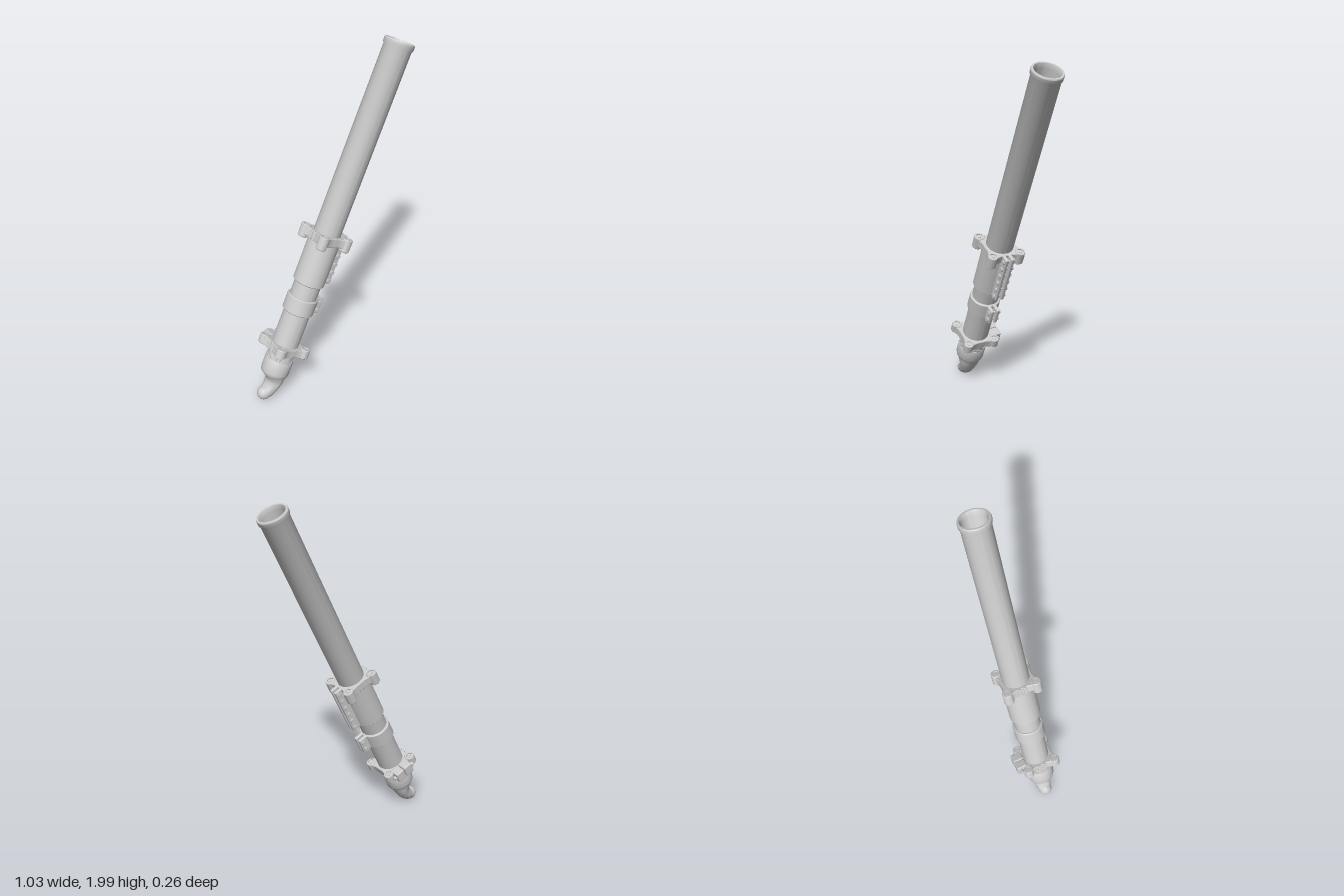
import * as THREE from 'three';
import { toCreasedNormals } from 'three/addons/utils/BufferGeometryUtils.js';
import { RoundedBoxGeometry } from 'three/addons/geometries/RoundedBoxGeometry.js';

const mat = new THREE.MeshStandardMaterial({ color: 0xcccccc });

function add(parent, name, geo, x = 0, y = 0, z = 0) {
  const mesh = new THREE.Mesh(geo, mat);
  mesh.name = name;
  mesh.position.set(x, y, z);
  parent.add(mesh);
  return mesh;
}

// Turned part about the tube axis, from [radius, height] pairs
function turned(points, segments = 48) {
  const geo = new THREE.LatheGeometry(points.map(([r, y]) => new THREE.Vector2(r, y)), segments);
  return toCreasedNormals(geo, 0.5);
}

// Band around the tube with small bevels
function band(radius, bottom, top, inner = 0.074, b = 0.005) {
  return turned([[inner, bottom], [radius - b, bottom], [radius, bottom + b],
    [radius, top - b], [radius - b, top], [inner, top]]);
}

// Four-cornered clamp plate with inward-curved sides and a bore, lying flat
function clampPlate(thickness) {
  const c = 0.085, r = 0.026, waist = 0.074;
  const shape = new THREE.Shape();
  for (let i = 0; i < 4; i++) {
    const a = i * Math.PI / 2;
    const turn = (x, y) => [x * Math.cos(a) - y * Math.sin(a), x * Math.sin(a) + y * Math.cos(a)];
    const start = turn(c + r, -c);
    if (i === 0) shape.moveTo(...start);
    shape.quadraticCurveTo(...turn(waist + 0.01, -0.05), ...turn(waist + 0.016, 0));
    shape.quadraticCurveTo(...turn(waist + 0.01, 0.05), ...turn(c + r, c));
    shape.absarc(...turn(c, c), r, a, a + Math.PI / 2, false);
  }
  shape.holes.push(new THREE.Path().absarc(0, 0, 0.075, 0, Math.PI * 2, true));
  const geo = new THREE.ExtrudeGeometry(shape, {
    depth: thickness - 0.008, bevelSize: 0.003, bevelThickness: 0.004, bevelSegments: 1, curveSegments: 12,
  });
  geo.translate(0, 0, 0.004);
  geo.rotateX(-Math.PI / 2);
  return toCreasedNormals(geo, 0.5);
}

// Clamp plate plus a recessed screw boss at every corner
function clamp(parent, name, bottom, top, bossDrop) {
  const group = new THREE.Group();
  group.name = name;
  parent.add(group);
  add(group, 'clampPlate', clampPlate(top - bottom), 0, bottom, 0);
  const low = bottom - bossDrop, high = top + 0.006;
  const boss = turned([[0, low], [0.025, low], [0.029, low + 0.005], [0.029, high - 0.004],
    [0.026, high], [0.018, high], [0.018, high - 0.014], [0, high - 0.014]], 20);
  const screw = new THREE.CylinderGeometry(0.011, 0.011, 0.012, 6);
  for (const x of [-0.085, 0.085]) for (const z of [-0.085, 0.085]) {
    add(group, 'cornerBoss', boss, x, 0, z);
    add(group, 'cornerScrew', screw, x, high - 0.009, z);
  }
  // Latch on the upper side of the clamp
  const height = top - bottom;
  for (const z of [-0.016, 0.016])
    add(group, 'latchLug', new RoundedBoxGeometry(0.024, height, 0.018, 2, 0.004), -0.088, bottom + height / 2, z);
  return group;
}

// Pair of bolted flanges under a band
function flangePair(parent, name, bottom, top, boltCount) {
  const group = new THREE.Group();
  group.name = name;
  parent.add(group);
  const height = top - bottom;
  const flange = new RoundedBoxGeometry(0.07, height, 0.02, 2, 0.006);
  const shank = new THREE.CylinderGeometry(0.007, 0.007, 0.05, 12).rotateX(Math.PI / 2);
  const head = new THREE.CylinderGeometry(0.014, 0.014, 0.012, 6).rotateX(Math.PI / 2);
  for (const side of [-1, 1]) add(group, 'flange', flange, 0.1, bottom + height / 2, side * 0.018);
  for (let i = 0; i < boltCount; i++) {
    const y = bottom + 0.024 + (height - 0.048) * i / (boltCount - 1);
    add(group, 'flangeBolt', shank, 0.116, y, 0);
    for (const side of [-1, 1]) add(group, 'boltHead', head, 0.116, y, side * 0.032);
  }
}

// Tapered foot: elliptical sections [height, left, right, half depth], top first
function footGeometry() {
  const rows = [
    [0.172, -0.074, 0.074, 0.074], [0.155, -0.058, 0.07, 0.069], [0.138, -0.036, 0.066, 0.065],
    [0.12, -0.026, 0.063, 0.061], [0.095, -0.027, 0.057, 0.055], [0.07, -0.036, 0.052, 0.049],
    [0.045, -0.05, 0.042, 0.044], [0.025, -0.05, 0.028, 0.038], [0.01, -0.036, 0.012, 0.026],
    [0.001, -0.015, -0.005, 0.006],
  ];
  const segments = 32;
  const geo = new THREE.CylinderGeometry(1, 1, 1, segments, rows.length - 1, true);
  const p = geo.attributes.position;
  for (let i = 0; i < p.count; i++) {
    const [y, left, right, depth] = rows[Math.floor(i / (segments + 1))];
    p.setXYZ(i, (left + right) / 2 + p.getX(i) * (right - left) / 2, y, p.getZ(i) * depth);
  }
  return toCreasedNormals(geo, 0.8);
}

export function createModel() {
  const model = new THREE.Group();
  model.name = 'launchTube';

  // Everything is built upright along the tube axis, then leaned over
  const tube = new THREE.Group();
  tube.name = 'tiltedAssembly';
  tube.position.set(-0.475, 0, 0.016);
  tube.rotation.z = THREE.MathUtils.degToRad(-25);
  model.add(tube);

  // Hollow barrel with a flared lip
  add(tube, 'barrel', turned([[0.077, 0.25], [0.077, 2.118], [0.083, 2.13], [0.084, 2.152], [0.081, 2.158],
    [0.072, 2.158], [0.068, 2.148], [0.066, 2.13], [0.066, 0.3], [0, 0.3]]));

  // Breech collar with a ring of slots' teeth, foot and ball
  add(tube, 'breechCollar', turned([[0, 0.165], [0.07, 0.165], [0.079, 0.175], [0.083, 0.19], [0.083, 0.26],
    [0.079, 0.27], [0, 0.27]]));
  const tooth = new THREE.BoxGeometry(0.022, 0.014, 0.01);
  for (let i = 0; i < 12; i++) {
    const a = i * Math.PI / 6;
    add(tube, 'breechTooth', tooth, Math.sin(a) * 0.076, 0.277, Math.cos(a) * 0.076).rotation.y = a;
  }
  add(tube, 'foot', footGeometry());
  add(tube, 'footBall', new THREE.SphereGeometry(0.04, 32, 20), -0.019, 0.036, 0);

  // Lower clamp with a split lug and cross bolt behind it
  const lower = clamp(tube, 'lowerClamp', 0.32, 0.37, 0);
  for (const side of [-1, 1])
    add(lower, 'rearLug', new RoundedBoxGeometry(0.057, 0.066, 0.066, 2, 0.008), 0.006 + side * 0.03, 0.344, -0.11);
  const crossBolt = (r, len, sides) => new THREE.CylinderGeometry(r, r, len, sides).rotateZ(Math.PI / 2);
  add(lower, 'crossBolt', crossBolt(0.008, 0.155, 12), 0.006, 0.344, -0.12);
  add(lower, 'crossBoltHead', crossBolt(0.015, 0.014, 6), -0.058, 0.344, -0.12);
  add(lower, 'crossBoltNut', crossBolt(0.014, 0.014, 6), 0.071, 0.344, -0.12);

  // Middle band
  add(tube, 'middleBand', band(0.089, 0.574, 0.672));
  flangePair(tube, 'middleFlanges', 0.574, 0.672, 2);

  // Upper sleeve and clamp
  add(tube, 'upperSleeve', band(0.09, 0.757, 1.045));
  flangePair(tube, 'sleeveFlanges', 0.76, 1.065, 6);
  clamp(tube, 'upperClamp', 1.015, 1.065, 0.02);

  return model;
}
